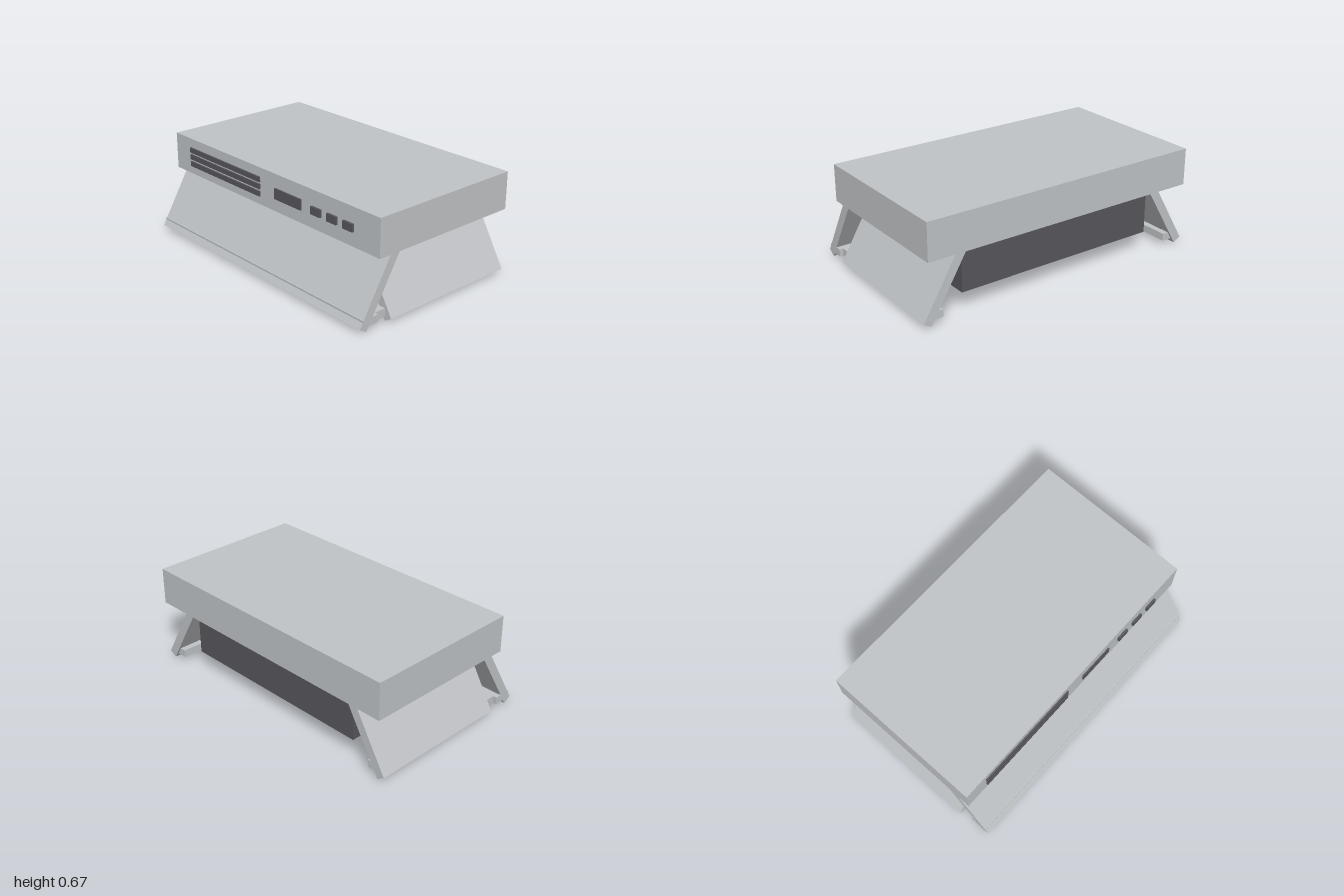
import * as THREE from 'three';

const material = (name, color) => {
  const m = new THREE.MeshStandardMaterial({ color });
  m.name = name;
  return m;
};

export function createModel() {
  const steel = material('steel', 0xc0c3c6);
  const dark = material('dark grey', 0x56565c);
  const panel = material('filter grey', 0xb8bbbd);
  const lamp = material('warm white', 0xd9cda0);
  const group = new THREE.Group();

  const add = (name, geometry, mat) => {
    const mesh = new THREE.Mesh(geometry, mat);
    mesh.name = name;
    group.add(mesh);
    return mesh;
  };
  // Box given by its lower and upper limits on each axis
  const box = (name, mat, [x0, x1], [y0, y1], [z0, z1]) => {
    const mesh = add(name, new THREE.BoxGeometry(x1 - x0, y1 - y0, z1 - z0), mat);
    mesh.position.set((x0 + x1) / 2, (y0 + y1) / 2, (z0 + z1) / 2);
  };
  // Slanted slab whose square-cut lower edge reaches out to the given distance
  const flap = (reach, width) => {
    const profile = new THREE.Shape([
      [reach, 0.03], [reach - 0.236, 0.43], [reach - 0.306, 0.43], [reach - 0.05, 0],
    ].map(([x, y]) => new THREE.Vector2(x, y)));
    return new THREE.ExtrudeGeometry(profile, { depth: width, bevelEnabled: false })
      .translate(0, 0, -width / 2);
  };

  // Upper housing and inner fan box
  box('housing', steel, [-0.975, 0.975], [0.42, 0.665], [-0.61, 0.465]);
  box('fanBox', dark, [-0.71, 0.71], [0.125, 0.43], [-0.54, 0.34]);

  // Flared skirt: front and both sides, open at the back
  add('frontFlap', flap(0.61, 1.95).rotateY(-Math.PI / 2), steel);
  for (const side of [1, -1]) {
    const name = side > 0 ? 'left' : 'right';
    const mesh = add(name + 'Flap', flap(1, 0.975), steel);
    mesh.rotation.y = side > 0 ? 0 : Math.PI;
    mesh.position.z = -0.0975;
    box(name + 'Ledge', steel, side > 0 ? [0.86, 0.95] : [-0.95, -0.86], [0.03, 0.08], [-0.57, 0.5]);
  }
  box('frontLedge', steel, [-0.975, 0.975], [0.03, 0.08], [0.47, 0.588]);
  box('lampStrip', lamp, [-0.55, 0.55], [0.01, 0.031], [0.473, 0.535]);

  // Grease filter with slots on the underside
  box('filterPanel', panel, [-0.6, 0.6], [0.115, 0.13], [-0.46, 0.26]);
  for (const z of [-0.35, -0.145, 0.06]) {
    box('filterSlot', dark, [-0.53, 0.53], [0.108, 0.12], [z - 0.024, z + 0.024]);
  }

  // Front vents, display and buttons
  for (const y of [0.475, 0.523, 0.57]) {
    box('vent', dark, [-0.81, -0.075], [y, y + 0.034], [0.46, 0.475]);
  }
  box('display', dark, [0.07, 0.315], [0.503, 0.574], [0.46, 0.474]);
  for (const x of [0.45, 0.588, 0.725]) {
    box('button', dark, [x - 0.041, x + 0.041], [0.513, 0.563], [0.46, 0.48]);
  }
  return group;
}
